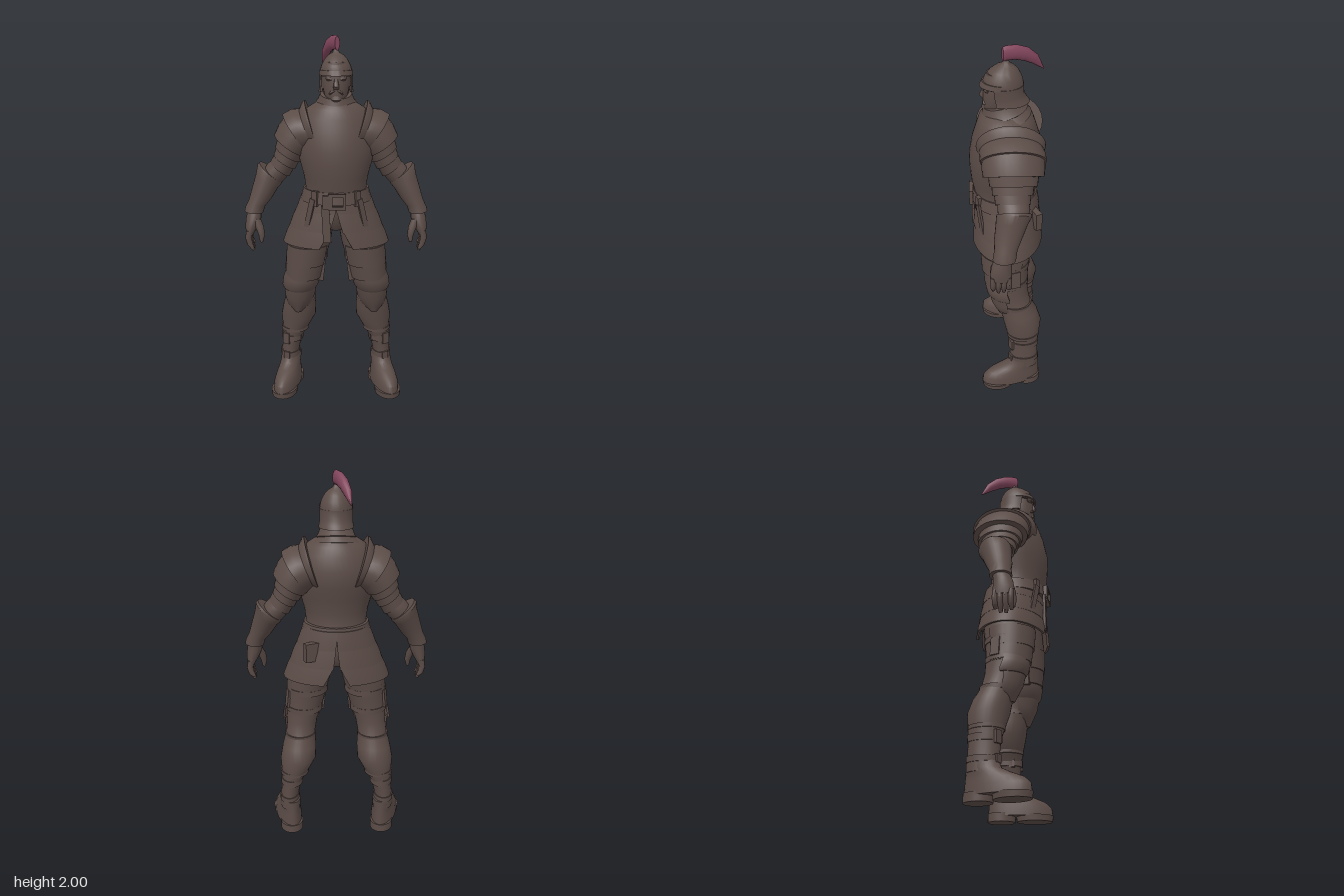
import * as THREE from 'three';
import { toCreasedNormals } from 'three/addons/utils/BufferGeometryUtils.js';

const steel = new THREE.MeshStandardMaterial({ color: 0x5b4c47, side: THREE.DoubleSide });
steel.name = 'dark brown steel';
const feather = new THREE.MeshStandardMaterial({ color: 0x82465c });
feather.name = 'crimson plume';

const DEG = Math.PI / 180;

// Skin over elliptical rings listed downwards:
// [x, y, z, halfWidth, halfDepth, tilt, startAngle, endAngle]
function loft(rings, { n = 28, from = 0, to = 360, caps = true } = {}) {
  const pos = [], idx = [], w = n + 1;
  rings.forEach(([x, y, z, ru, rv, tilt = 0, a0 = from, a1 = to]) => {
    for (let j = 0; j <= n; j++) {
      const t = (a0 + (a1 - a0) * j / n) * DEG, c = Math.cos(t) * ru;
      pos.push(x + c * Math.cos(tilt), y + c * Math.sin(tilt), z + Math.sin(t) * rv);
    }
  });
  for (let i = 0; i < rings.length - 1; i++) {
    for (let j = 0; j < n; j++) {
      const a = i * w + j, d = a + w;
      idx.push(a, a + 1, d, a + 1, d + 1, d);
    }
  }
  if (caps) {
    [0, rings.length - 1].forEach((r, k) => {
      const centre = pos.length / 3;
      pos.push(rings[r][0], rings[r][1], rings[r][2]);
      for (let j = 0; j < n; j++) {
        const a = r * w + j;
        if (k) idx.push(centre, a, a + 1); else idx.push(centre, a + 1, a);
      }
    });
  }
  const g = new THREE.BufferGeometry();
  g.setAttribute('position', new THREE.Float32BufferAttribute(pos, 3));
  g.setIndex(idx);
  return g;
}

// Bent plate with thickness, covering an arc of the rings
function plate(rings, from, to, thick = 0.01) {
  const inner = rings.map(([x, y, z, u, v, ...rest]) => [x, y, z, u - thick, v - thick, ...rest]).reverse();
  return loft([...rings, ...inner, rings[0]], { from, to, caps: false });
}

function box(w, h, d, x, y, z, rz = 0, ry = 0) {
  return new THREE.BoxGeometry(w, h, d).rotateZ(rz).rotateY(ry).translate(x, y, z);
}

function mirrored(g) {
  const m = g.clone().scale(-1, 1, 1), ix = m.index;
  for (let i = 0; i < ix.count; i += 3) {
    const b = ix.getX(i + 1);
    ix.setX(i + 1, ix.getX(i + 2));
    ix.setX(i + 2, b);
  }
  return m;
}

export function createModel() {
  const model = new THREE.Group();
  model.name = 'armoured soldier';
  const add = (name, g, mat = steel) => {
    g.deleteAttribute('uv');
    g.deleteAttribute('normal');
    const mesh = new THREE.Mesh(toCreasedNormals(g, 0.75), mat);
    mesh.name = name;
    model.add(mesh);
  };
  const pair = (name, g) => {
    add(name + ' right', mirrored(g));
    add(name + ' left', g);
  };

  // Torso
  add('cuirass', loft([
    [0, 1.665, 0, 0.10, 0.11], [0, 1.635, 0, 0.15, 0.135], [0, 1.59, 0, 0.185, 0.15],
    [0, 1.52, 0, 0.208, 0.172], [0, 1.43, 0.013, 0.206, 0.176], [0, 1.36, 0.023, 0.191, 0.166],
    [0, 1.28, 0.028, 0.17, 0.155], [0, 1.22, 0.022, 0.162, 0.148], [0, 1.18, 0.015, 0.168, 0.15]], { n: 40 }));
  add('gorget', loft([
    [0, 0.04, 0, 0.082, 0.094], [0, 0.0, 0, 0.097, 0.113], [0, -0.01, 0, 0.106, 0.12],
    [0, -0.014, 0, 0.1, 0.115], [0, -0.045, 0, 0.135, 0.13]]).rotateX(0.25).translate(0, 1.672, 0.012));
  add('hips', loft([
    [0, 1.2, 0, 0.16, 0.14], [0, 1.1, -0.005, 0.175, 0.145], [0, 1.04, -0.01, 0.14, 0.135],
    [0, 0.99, -0.01, 0.06, 0.10]]));

  // Skirt of overlapping lames, parting towards the hem at front and back
  const skirt = [
    [1.2, 1.1, 0.17, 0.213, 0.158, 0.172, 92, 89, -90, -89],
    [1.11, 1.0, 0.208, 0.253, 0.168, 0.184, 89, 82, -89, -86],
    [1.01, 0.91, 0.248, 0.289, 0.18, 0.193, 82, 72, -86, -76]];
  skirt.forEach(([y0, y1, u0, u1, v0, v1, f0, f1, b0, b1], i) =>
    pair('skirt lame ' + (i + 1), plate([
      [0, y0, -0.005, u0, v0, 0, b0, f0],
      [0, (y0 + y1) / 2, -0.005, (u0 + u1) / 2 + 0.003, (v0 + v1) / 2 + 0.002, 0, (b0 + b1) / 2, (f0 + f1) / 2],
      [0, y1, -0.005, u1, v1, 0, b1, f1]], 0, 0, 0.012)));

  // Belt, buckle and hanging straps
  add('belt', plate([[0, 1.215, 0.01, 0.174, 0.163], [0, 1.15, 0.008, 0.192, 0.173]], 0, 360, 0.02));
  [-1, 1].forEach(s => {
    add('buckle bar', box(0.088, 0.016, 0.02, 0.004, 1.172 + s * 0.034, 0.185));
    add('buckle side', box(0.016, 0.084, 0.02, 0.004 + s * 0.038, 1.172, 0.185));
  });
  add('long strap', box(0.042, 0.2, 0.014, -0.052, 1.05, 0.178, 0.05));
  add('long strap loop', box(0.05, 0.07, 0.02, -0.045, 1.17, 0.184));
  pair('side strap', box(0.03, 0.17, 0.012, 0.14, 1.095, 0.137, 0.25, 0.55));
  pair('belt loop', box(0.03, 0.08, 0.02, 0.11, 1.18, 0.145, 0, 0.5));
  add('back pouch', box(0.09, 0.1, 0.035, 0.125, 1.09, -0.15, 0, 0.45));

  // Head
  add('face', loft([
    [0, 1.87, 0.02, 0.06, 0.075], [0, 1.8, 0.025, 0.07, 0.086], [0, 1.75, 0.03, 0.069, 0.083],
    [0, 1.71, 0.042, 0.061, 0.074], [0, 1.68, 0.055, 0.047, 0.06], [0, 1.662, 0.062, 0.026, 0.035]]));
  add('neck', loft([[0, 1.74, 0, 0.065, 0.07], [0, 1.64, 0, 0.075, 0.08]]));
  add('nose', loft([
    [0, 1.79, 0.106, 0.009, 0.008], [0, 1.752, 0.114, 0.015, 0.017], [0, 1.738, 0.108, 0.014, 0.012]], { n: 12 }));
  pair('brow', loft([[0.028, 1.798, 0.092, 0.024, 0.014, 0.15], [0.028, 1.786, 0.093, 0.025, 0.016, 0.15],
    [0.028, 1.778, 0.09, 0.02, 0.01, 0.15]], { n: 12 }));
  pair('moustache', loft([[0.014, 1.735, 0.106, 0.016, 0.01, -0.4], [0.018, 1.724, 0.105, 0.022, 0.011, -0.4],
    [0.02, 1.715, 0.102, 0.014, 0.006, -0.4]], { n: 12 }));
  add('beard', loft([[0, 1.708, 0.093, 0.027, 0.022], [0, 1.685, 0.096, 0.03, 0.026],
    [0, 1.663, 0.09, 0.015, 0.016]], { n: 14 }));
  add('helmet', loft([
    [0, 1.93, 0, 0.012, 0.012], [0, 1.915, 0.002, 0.018, 0.02], [0, 1.902, 0.005, 0.04, 0.045],
    [0, 1.88, 0.01, 0.06, 0.07], [0, 1.85, 0.014, 0.076, 0.09], [0, 1.82, 0.016, 0.084, 0.1],
    [0, 1.8, 0.014, 0.085, 0.1]]));
  add('helmet peak', plate([[0, 1.83, 0.016, 0.085, 0.102], [0, 1.805, 0.018, 0.088, 0.112]], 5, 175));
  add('cheek and neck guard', plate([
    [0, 1.81, 0.014, 0.086, 0.101], [0, 1.76, 0.01, 0.085, 0.098], [0, 1.737, 0.002, 0.087, 0.104],
    [0, 1.718, -0.002, 0.091, 0.113]], 152, 388));

  // Swept plume, drifting towards the right shoulder
  add('plume', loft([
    [-0.018, 1.96, 0, 0.035, 0.014, 1.57], [0.0, 1.964, 0, 0.037, 0.018, 1.55],
    [0.05, 1.96, 0, 0.037, 0.023, 1.42], [0.1, 1.943, 0, 0.034, 0.024, 1.2],
    [0.15, 1.908, 0, 0.025, 0.02, 0.9], [0.197, 1.852, 0, 0.003, 0.003, 0.7]], { n: 16 }).rotateY(1.94), feather);

  // Shoulder and upper arm lames
  const lames = [
    [[0.122, 1.532, -0.02, 0.144, 0.172, 1.27], [0.132, 1.529, -0.02, 0.141, 0.17, 1.25], [0.155, 1.518, -0.022, 0.112, 0.155, 1.2]],
    [[0.145, 1.52, -0.022, 0.113, 0.157, 1.22], [0.18, 1.513, -0.027, 0.122, 0.162, 1.08], [0.21, 1.497, -0.03, 0.122, 0.162, 0.95]],
    [[0.2, 1.495, -0.03, 0.115, 0.154, 0.95], [0.225, 1.465, -0.03, 0.109, 0.154, 0.78], [0.245, 1.432, -0.03, 0.1, 0.15, 0.6]],
    [[0.232, 1.44, -0.03, 0.086, 0.125, 0.6], [0.257, 1.385, -0.03, 0.078, 0.118, 0.55]],
    [[0.25, 1.4, -0.027, 0.072, 0.106, 0.55], [0.275, 1.345, -0.025, 0.069, 0.1, 0.58]],
    [[0.27, 1.36, -0.025, 0.064, 0.092, 0.58], [0.3, 1.305, -0.025, 0.064, 0.086, 0.65]]];
  lames.forEach((r, i) => pair(i < 3 ? 'pauldron lame' : 'upper arm lame', loft(r)));
  pair('elbow', loft([[0.28, 1.33, -0.025, 0.057, 0.077, 0.6], [0.32, 1.29, -0.03, 0.062, 0.08, 0.7],
    [0.37, 1.23, -0.02, 0.055, 0.065, 0.6]]));

  // Forearm guard and cuff
  pair('vambrace', loft([
    [0.35, 1.285, -0.03, 0.08, 0.086, 0.72], [0.358, 1.275, -0.03, 0.083, 0.088, 0.7],
    [0.372, 1.24, -0.018, 0.07, 0.079, 0.6], [0.4, 1.175, 0, 0.059, 0.069, 0.48],
    [0.426, 1.125, 0.012, 0.047, 0.057, 0.4], [0.441, 1.09, 0.018, 0.05, 0.058, 0.25],
    [0.444, 1.078, 0.02, 0.05, 0.058, 0.1]]));

  // Hand
  pair('palm', loft([
    [0.44, 1.09, 0.02, 0.036, 0.042], [0.445, 1.045, 0.032, 0.041, 0.05],
    [0.457, 1.0, 0.037, 0.034, 0.054], [0.466, 0.96, 0.037, 0.02, 0.053]]));
  [0.077, 0.05, 0.023, -0.003].forEach((z, i) => {
    const tip = [0.882, 0.868, 0.872, 0.893][i];
    pair('finger ' + (i + 1), loft([
      [0.465, 0.985, z, 0.018, 0.015], [0.472, 0.945, z, 0.017, 0.015, -0.1],
      [0.464, 0.91, z, 0.015, 0.014, -0.3], [0.448, tip, z, 0.009, 0.009, -0.5]], { n: 10 }));
  });
  pair('thumb', loft([
    [0.43, 1.05, 0.05, 0.026, 0.027, 0.3], [0.41, 1.0, 0.066, 0.022, 0.023, -0.2],
    [0.4, 0.96, 0.074, 0.017, 0.018, 0], [0.402, 0.922, 0.077, 0.008, 0.009, 0.1]], { n: 12 }));

  // Legs
  pair('leg', loft([
    [0.115, 1.06, -0.005, 0.11, 0.135], [0.145, 0.92, 0.002, 0.118, 0.135], [0.162, 0.82, 0.005, 0.108, 0.122],
    [0.178, 0.72, -0.005, 0.096, 0.108], [0.19, 0.65, -0.02, 0.083, 0.094], [0.2, 0.58, -0.042, 0.08, 0.086],
    [0.207, 0.51, -0.068, 0.093, 0.1], [0.215, 0.44, -0.085, 0.098, 0.106], [0.232, 0.37, -0.09, 0.077, 0.093],
    [0.252, 0.3, -0.094, 0.056, 0.08], [0.265, 0.22, -0.095, 0.05, 0.078], [0.268, 0.14, -0.095, 0.05, 0.078]]));

  // Thigh plates, pouches and leg straps
  pair('upper thigh plate', plate([[0.15, 0.9, 0.005, 0.119, 0.137], [0.164, 0.79, 0.008, 0.112, 0.128]], -40, 150));
  pair('lower thigh plate', plate([[0.163, 0.81, 0.008, 0.11, 0.123], [0.178, 0.71, 0.003, 0.104, 0.12]], -40, 150));
  pair('inner thigh pouch', box(0.035, 0.1, 0.07, 0.082, 0.745, 0.03, 0.12));
  pair('thigh buckle', box(0.014, 0.1, 0.05, 0.266, 0.78, -0.045, 0.1, 0.3));
  const bands = [
    [0.16, 0.83, 0.004, 0.113, 0.127, 0.03], [0.178, 0.72, -0.004, 0.1, 0.112, 0.03],
    [0.202, 0.565, -0.046, 0.085, 0.091, 0.025], [0.236, 0.36, -0.09, 0.079, 0.092, 0.02],
    [0.252, 0.305, -0.093, 0.062, 0.086, 0.035], [0.266, 0.2, -0.095, 0.055, 0.083, 0.03]];
  bands.forEach(([x, y, z, u, v, h]) =>
    pair('leg strap', loft([[x, y + h / 2, z, u, v], [x, y - h / 2, z, u, v]])));
  pair('shin buckle', box(0.04, 0.065, 0.015, 0.285, 0.305, -0.022, 0, 0.5));
  pair('inner shin buckle', box(0.022, 0.06, 0.03, 0.208, 0.31, -0.055));
  pair('ankle buckle', box(0.035, 0.04, 0.015, 0.283, 0.2, -0.021, 0, 0.4));

  // Knee guard tapering to a point on the shin
  pair('knee guard', plate([
    [0.18, 0.735, 0.0, 0.099, 0.115], [0.19, 0.695, 0, 0.104, 0.119], [0.2, 0.65, -0.015, 0.1, 0.124],
    [0.202, 0.635, -0.015, 0.092, 0.112]], 0, 180));
  pair('lower knee guard', plate([
    [0.198, 0.645, -0.015, 0.09, 0.113], [0.203, 0.585, -0.02, 0.084, 0.106],
    [0.208, 0.535, -0.03, 0.068, 0.092], [0.212, 0.495, -0.04, 0.03, 0.085]], 10, 170));

  // Boots, turned slightly outwards
  const boot = g => g.rotateY(0.22).translate(0.262, 0, -0.1);
  pair('boot', boot(loft([
    [0, 0.19, 0, 0.054, 0.083], [0, 0.155, 0.008, 0.056, 0.091], [0, 0.13, 0.034, 0.056, 0.118],
    [0, 0.105, 0.064, 0.061, 0.15], [0, 0.075, 0.079, 0.068, 0.167], [0, 0.03, 0.081, 0.071, 0.171]])));
  pair('boot sole', boot(loft([[0, 0.036, 0.155, 0.073, 0.098], [0, 0.004, 0.155, 0.07, 0.094]])));
  pair('boot heel', boot(loft([[0, 0.045, -0.02, 0.063, 0.073], [0, 0, -0.02, 0.063, 0.073]])));

  return model;
}
